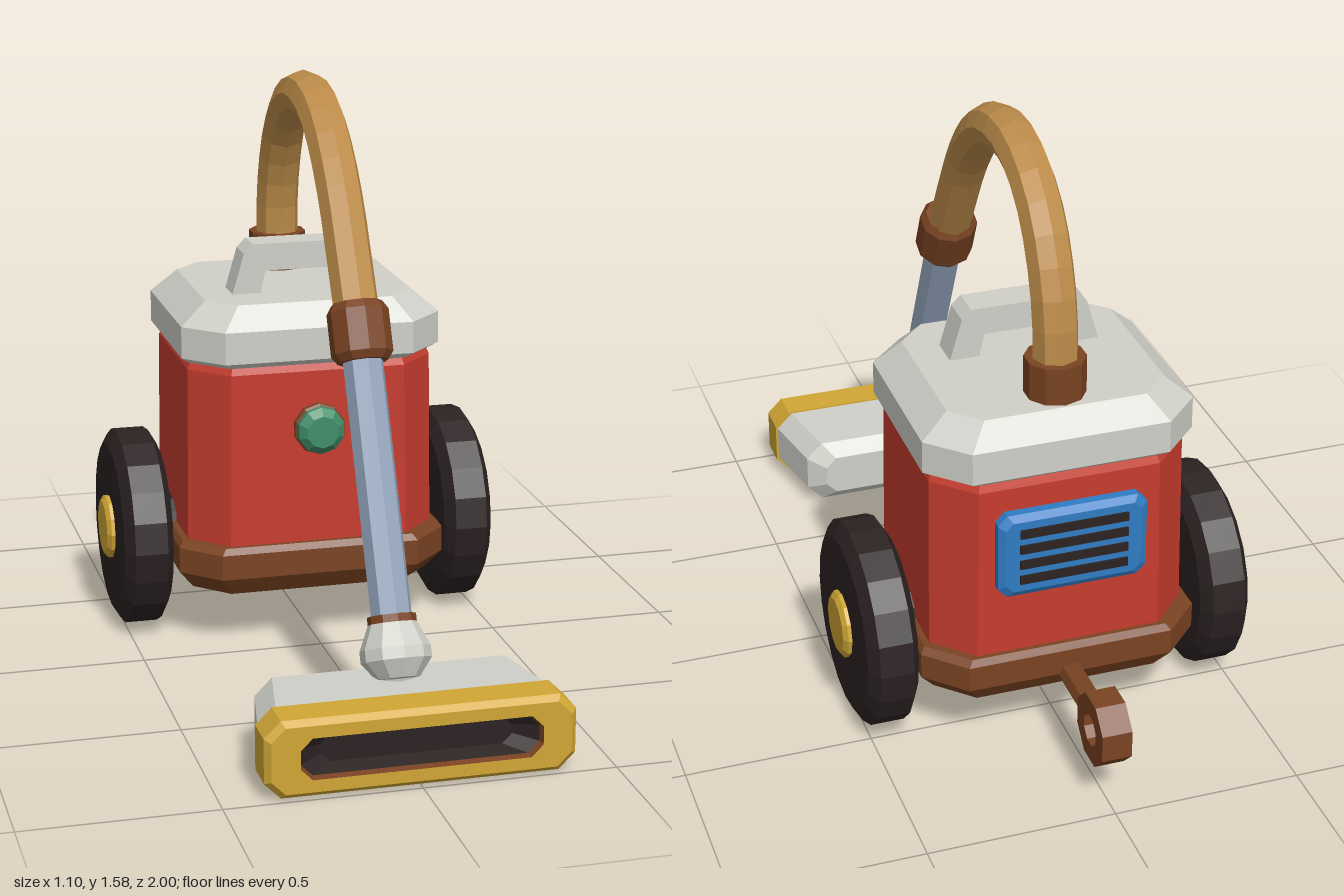
import * as THREE from 'three';

const mat = (name, color) => new THREE.MeshStandardMaterial({ name, color, flatShading: true });
const red = mat('red', 0xc63c2e), brown = mat('brown', 0x7a4322), white = mat('off white', 0xd0d0c9),
  yellow = mat('yellow', 0xd0a634), dark = mat('dark rubber', 0x2c2222), tan = mat('tan hose', 0xbd8c49),
  steel = mat('steel blue', 0x94a5bc), green = mat('green', 0x3f8e68), blue = mat('blue', 0x2f7cc4);

// Corner-cut rectangles [halfWidth, halfHeight, cut, z] joined into a skin along +z
function loft(rings, capStart = true, capEnd = true) {
  const pos = [];
  const pts = rings.map(([w, h, c, z]) => [
    [w, -h + c, z], [w, h - c, z], [w - c, h, z], [-w + c, h, z],
    [-w, h - c, z], [-w, -h + c, z], [-w + c, -h, z], [w - c, -h, z]]);
  const tri = (a, b, c) => pos.push(...a, ...b, ...c);
  for (let r = 0; r + 1 < pts.length; r++) {
    for (let i = 0; i < 8; i++) {
      const j = (i + 1) % 8, p = pts[r], q = pts[r + 1];
      tri(p[i], p[j], q[j]);
      tri(p[i], q[j], q[i]);
    }
  }
  const s = pts[0], e = pts[pts.length - 1];
  for (let i = 1; i < 7; i++) {
    if (capStart) tri(s[0], s[i + 1], s[i]);
    if (capEnd) tri(e[0], e[i], e[i + 1]);
  }
  const g = new THREE.BufferGeometry();
  g.setAttribute('position', new THREE.Float32BufferAttribute(pos, 3));
  g.computeVertexNormals();
  return g;
}
const upright = rings => loft(rings).rotateX(-Math.PI / 2);
const lathe = (points, sides) => new THREE.LatheGeometry(points.map(p => new THREE.Vector2(...p)), sides);

function add(parent, name, geometry, material, x = 0, y = 0, z = 0) {
  const m = new THREE.Mesh(geometry, material);
  m.name = name;
  m.position.set(x, y, z);
  parent.add(m);
  return m;
}

export function createModel() {
  const root = new THREE.Group();
  root.name = 'vacuumCleaner';

  // Canister: base, body and lid
  add(root, 'base', upright([[0.335, 0.29, 0.09, 0.155], [0.377, 0.33, 0.1, 0.21], [0.377, 0.33, 0.1, 0.28],
    [0.365, 0.318, 0.1, 0.297]]), brown, 0, 0, -0.33);
  add(root, 'body', upright([[0.348, 0.305, 0.1, 0.29], [0.342, 0.3, 0.1, 0.78], [0.33, 0.288, 0.095, 0.81]]),
    red, 0, 0, -0.33);
  add(root, 'lid', upright([[0.34, 0.295, 0.095, 0.8], [0.362, 0.317, 0.1, 0.817], [0.362, 0.317, 0.1, 0.905],
    [0.29, 0.267, 0.075, 0.968]]), white, 0, 0, -0.327);

  // Carrying handle
  const hs = new THREE.Shape([[-0.205, 0.96], [-0.125, 0.96], [-0.11, 1.03], [0.11, 1.03], [0.125, 0.96],
    [0.205, 0.96], [0.17, 1.08], [0.145, 1.105], [-0.145, 1.105], [-0.17, 1.08]].map(p => new THREE.Vector2(...p)));
  add(root, 'handle', new THREE.ExtrudeGeometry(hs, { depth: 0.09, bevelEnabled: false }), white, 0, 0, -0.275);

  // Wheels with hubs and axle
  const tyre = lathe([[0, 0.39], [0.235, 0.39], [0.275, 0.413], [0.275, 0.503], [0.235, 0.527], [0, 0.527]], 20);
  const hub = lathe([[0.09, 0.52], [0.09, 0.537], [0.075, 0.548], [0, 0.548]], 12);
  for (const side of [1, -1]) {
    const wheel = new THREE.Group();
    wheel.name = side > 0 ? 'leftWheel' : 'rightWheel';
    wheel.position.set(0, 0.275, -0.35);
    wheel.rotation.z = -side * Math.PI / 2;
    add(wheel, 'tyre', tyre, dark);
    add(wheel, 'hub', hub, yellow);
    root.add(wheel);
  }
  add(root, 'axle', new THREE.CylinderGeometry(0.073, 0.073, 0.8, 10).rotateZ(Math.PI / 2), dark, 0, 0.28, -0.35);

  // Front button
  add(root, 'buttonRing', lathe([[0.072, -0.02], [0.072, 0.015], [0.06, 0.025], [0, 0.025]], 10).rotateX(Math.PI / 2),
    brown, 0, 0.62, -0.028);
  add(root, 'button', lathe([[0.066, 0], [0.066, 0.035], [0.045, 0.053], [0, 0.053]], 10).rotateX(Math.PI / 2),
    green, 0, 0.62, -0.028);

  // Rear vent with slots
  add(root, 'vent', loft([[0.2, 0.12, 0.025, 0], [0.2, 0.12, 0.025, 0.03], [0.182, 0.102, 0.02, 0.042]])
    .rotateY(Math.PI), blue, 0, 0.597, -0.625);
  for (let i = 0; i < 4; i++) {
    add(root, 'ventSlot', new THREE.BoxGeometry(0.29, 0.024, 0.009), dark, 0, 0.53 + i * 0.045, -0.669);
  }

  // Tail rod and ring
  add(root, 'tailRod', new THREE.CylinderGeometry(0.033, 0.033, 0.22, 8).rotateX(Math.PI / 2), brown, 0, 0.208, -0.74);
  const octagon = r => Array.from({ length: 8 }, (_, i) => {
    const a = (i + 0.5) * Math.PI / 4;
    return new THREE.Vector2(r * Math.cos(a), r * Math.sin(a));
  });
  const ringShape = new THREE.Shape(octagon(0.098));
  ringShape.holes.push(new THREE.Path(octagon(0.044)));
  add(root, 'tailRing', new THREE.ExtrudeGeometry(ringShape, { depth: 0.08, bevelEnabled: false })
    .translate(0, 0, -0.04).rotateY(Math.PI / 2), brown, 0, 0.208, -0.908);

  // Hose arching from lid to wand
  const path = new THREE.CatmullRomCurve3([[1.0, -0.505], [1.14, -0.505], [1.27, -0.475], [1.41, -0.395],
    [1.49, -0.285], [1.52, -0.16], [1.495, -0.02], [1.425, 0.09], [1.305, 0.2], [1.155, 0.295], [0.995, 0.39]]
    .map(([y, z]) => new THREE.Vector3(0, y, z)));
  add(root, 'hose', new THREE.TubeGeometry(path, 20, 0.06, 8), tan);
  add(root, 'hoseSocket', new THREE.CylinderGeometry(0.08, 0.08, 0.11, 10), brown, 0, 1.015, -0.507);

  // Wand, leaning back from the floor head
  const wand = new THREE.Group();
  wand.name = 'wand';
  wand.position.set(0, 0.32, 0.716);
  wand.rotation.x = -0.444;
  add(wand, 'pipe', new THREE.CylinderGeometry(0.053, 0.053, 0.74, 8), steel, 0, 0.35, 0);
  add(wand, 'cuff', lathe([[0, 0.67], [0.066, 0.67], [0.08, 0.69], [0.08, 0.8], [0.066, 0.822], [0, 0.822]], 10), brown);
  add(wand, 'lowerRing', new THREE.CylinderGeometry(0.062, 0.062, 0.03, 10), brown, 0, 0.008, 0);
  add(wand, 'joint', lathe([[0, -0.14], [0.055, -0.135], [0.09, -0.09], [0.09, -0.06], [0.062, 0.003], [0, 0.003]], 10), white);
  root.add(wand);
  add(root, 'neck', new THREE.CylinderGeometry(0.07, 0.06, 0.09, 10), white, 0, 0.22, 0.738);

  // Floor head with framed suction slot
  const head = new THREE.Group();
  head.name = 'floorHead';
  head.position.y = 0.105;
  add(head, 'headShell', loft([[0.3, 0.058, 0.03, 0.655], [0.35, 0.094, 0.045, 0.692], [0.39, 0.096, 0.045, 0.9]]), white);
  add(head, 'headFrame', loft([[0.395, 0.1, 0.042, 0.893], [0.395, 0.1, 0.042, 0.984], [0.38, 0.086, 0.036, 1.0],
    [0.307, 0.054, 0.03, 1.0]], true, false), yellow);
  add(head, 'slotLip', loft([[0.307, 0.054, 0.03, 1.0], [0.302, 0.05, 0.029, 0.98]], false, false), brown);
  add(head, 'slot', loft([[0.302, 0.05, 0.029, 0.98], [0.245, 0.036, 0.025, 0.94]], false, true), dark);
  root.add(head);

  return root;
}
